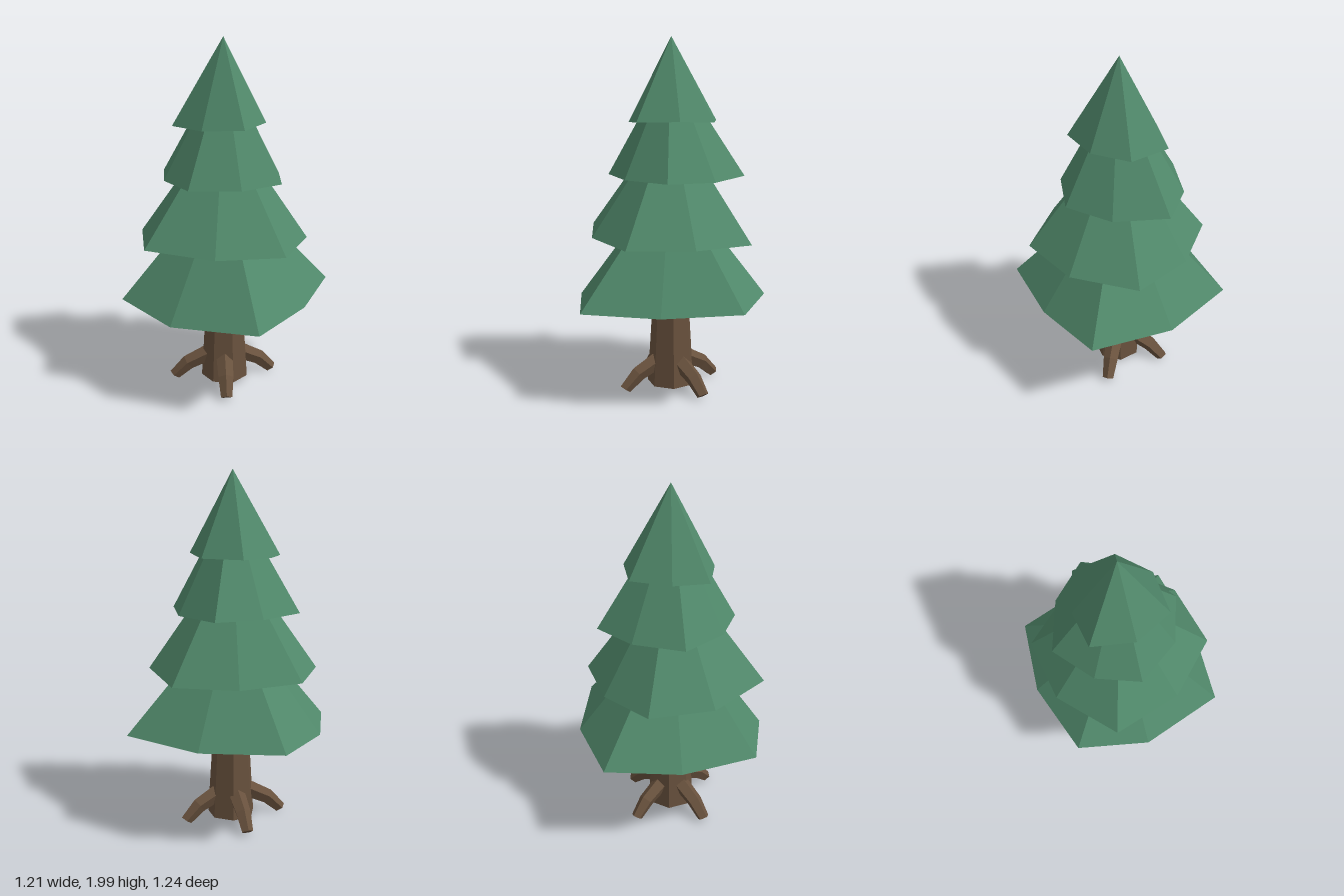
import * as THREE from 'three';

const foliage = new THREE.MeshStandardMaterial({ color: 0x50886a });
foliage.name = 'foliage green';
const bark = new THREE.MeshStandardMaterial({ color: 0x68513d });
bark.name = 'bark brown';

// Faceted solid through cross-sections of equal point count, capped at both ends.
// A one-point last section makes a tip.
function loft(sections) {
  const pos = [];
  const tri = (...pts) => pts.forEach((p) => pos.push(p.x, p.y, p.z));
  const n = sections[0].length;
  const centre = (s) => s.reduce((sum, p) => sum.add(p), new THREE.Vector3()).divideScalar(s.length);
  const first = sections[0];
  const last = sections[sections.length - 1];
  for (let i = 0; i < n; i++) {
    const j = (i + 1) % n;
    tri(centre(first), first[i], first[j]);
    for (let k = 0; k < sections.length - 1; k++) {
      const a = sections[k], b = sections[k + 1];
      if (b.length === 1) {
        tri(a[j], a[i], b[0]);
      } else {
        tri(a[j], a[i], b[i]);
        tri(a[j], b[i], b[j]);
      }
    }
    if (last.length > 1) tri(centre(last), last[j], last[i]);
  }
  const geo = new THREE.BufferGeometry();
  geo.setAttribute('position', new THREE.Float32BufferAttribute(pos, 3));
  geo.computeVertexNormals();
  return geo;
}

function part(name, geo, material) {
  const mesh = new THREE.Mesh(geo, material);
  mesh.name = name;
  return mesh;
}

// Ring of points around a centre, spanned by two axes.
function ring(n, centre, u, v, radius, phase = 0) {
  return Array.from({ length: n }, (_, i) => {
    const t = phase + (i / n) * Math.PI * 2;
    return centre.clone().addScaledVector(u, Math.cos(t) * radius).addScaledVector(v, Math.sin(t) * radius);
  });
}

const V = (x, y, z) => new THREE.Vector3(x, y, z);

// Irregular foliage tiers: rim points [x, y, z] and the tip they rise to
const tiers = [
  { name: 'bottomTier', tip: [-0.02, 1.25, 0], rim: [
    [-0.10, 0.58, -0.62], [0.31, 0.57, -0.42], [0.605, 0.58, -0.055], [0.38, 0.56, 0.315],
    [0.065, 0.555, 0.62], [-0.37, 0.535, 0.395], [-0.605, 0.565, 0.05], [-0.415, 0.57, -0.345]] },
  { name: 'lowerTier', tip: [-0.02, 1.58, 0], rim: [
    [-0.26, 0.90, -0.44], [0.085, 0.885, -0.425], [0.40, 0.885, -0.255], [0.43, 0.905, 0.13],
    [0.24, 0.905, 0.44], [-0.135, 0.91, 0.44], [-0.485, 0.92, 0.25], [-0.47, 0.905, -0.15]] },
  { name: 'upperTier', tip: [-0.02, 1.87, 0], rim: [
    [-0.07, 1.235, -0.36], [0.195, 1.235, -0.355], [0.31, 1.23, -0.075], [0.265, 1.235, 0.20],
    [0.025, 1.24, 0.32], [-0.25, 1.24, 0.27], [-0.355, 1.24, 0.04], [-0.33, 1.235, -0.23]] },
  { name: 'topTier', tip: [-0.02, 2, -0.005], rim: [
    [0.015, 1.54, -0.285], [0.20, 1.54, -0.14], [0.20, 1.55, 0.08], [0.05, 1.545, 0.26],
    [-0.165, 1.535, 0.185], [-0.30, 1.53, -0.01], [-0.185, 1.535, -0.175]] },
];

// Bent tapering root along +x: distance, height, radius, downward tilt
const rootSteps = [
  [0.06, 0.18, 0.052, 0.5],
  [0.21, 0.105, 0.045, 0.65],
  [0.29, 0.027, 0.034, 0.95],
];

export function createModel() {
  const tree = new THREE.Group();
  tree.name = 'pineTree';

  for (const { name, tip, rim } of tiers) {
    tree.add(part(name, loft([rim.map((p) => V(...p)), [V(...tip)]]), foliage));
  }

  // Seven-sided trunk, narrowing upward
  const X = V(1, 0, 0), Z = V(0, 0, 1);
  tree.add(part('trunk', loft([
    ring(7, V(-0.015, 0.03, 0), X, Z, 0.137, Math.PI),
    ring(7, V(-0.015, 0.62, 0), X, Z, 0.1, Math.PI),
  ]), bark));

  // Four roots spread around the trunk
  const rootGeo = loft(rootSteps.map(([d, y, r, tilt]) =>
    ring(5, V(d, y, 0), Z, V(Math.sin(tilt), Math.cos(tilt), 0), r, Math.PI / 2)));
  [-6, 96, 186, 272].forEach((deg, i) => {
    const root = part(`root${i + 1}`, rootGeo, bark);
    root.position.x = -0.02;
    root.rotation.y = -THREE.MathUtils.degToRad(deg);
    tree.add(root);
  });

  return tree;
}
